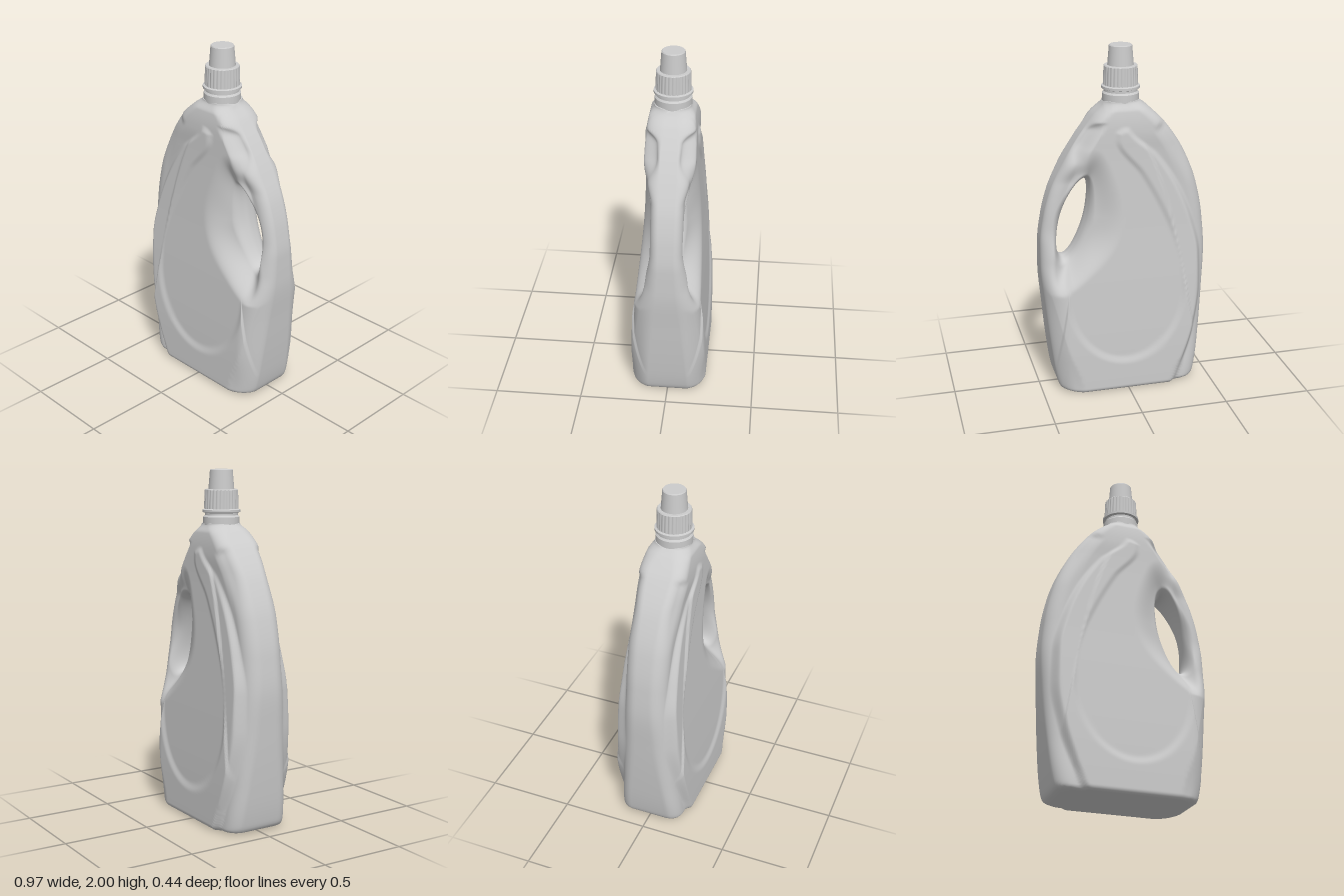
import * as THREE from 'three';

const { clamp, lerp, smoothstep } = THREE.MathUtils;

// Smooth function of y through [y, value] pairs (cubic Hermite)
function curve(...p) {
  const slope = (i) => {
    if (i === 0 || i === p.length - 1) return 0;
    const a = (p[i][1] - p[i - 1][1]) / (p[i][0] - p[i - 1][0]);
    const b = (p[i + 1][1] - p[i][1]) / (p[i + 1][0] - p[i][0]);
    return a * b <= 0 ? 0 : (2 * a * b) / (a + b);
  };
  const m = p.map((_, i) => slope(i));
  return (y) => {
    if (y <= p[0][0]) return p[0][1];
    for (let i = 0; i < p.length - 1; i++) {
      const w = p[i + 1][0] - p[i][0], t = (y - p[i][0]) / w;
      if (t > 1) continue;
      const s = 1 - t;
      return p[i][1] * (1 + 2 * t) * s * s + m[i] * w * t * s * s
        + p[i + 1][1] * t * t * (3 - 2 * t) - m[i + 1] * w * t * t * s;
    }
    return p[p.length - 1][1];
  };
}

// Quarter-round rise from 0 to 1 over t = 0..1
const round = (t) => Math.sqrt(1 - (1 - clamp(t, 0, 1)) ** 2);

// Side outlines
const xLeft = curve([0, -0.37], [0.015, -0.4], [0.05, -0.415], [0.3, -0.45], [0.6, -0.475], [0.8, -0.485],
  [1, -0.47], [1.2, -0.43], [1.4, -0.35], [1.57, -0.235], [1.66, -0.145], [1.7, -0.1]);
const xRight = curve([0, 0.36], [0.015, 0.39], [0.05, 0.405], [0.2, 0.43], [0.5, 0.462], [0.75, 0.482], [0.9, 0.48],
  [1.05, 0.46], [1.2, 0.42], [1.35, 0.35], [1.5, 0.26], [1.62, 0.17], [1.7, 0.1]);
// Half depth of the body, of its flat side walls, and size of the right edge rounding
const depth = curve([0, 0.218], [0.2, 0.216], [0.6, 0.2], [1, 0.176], [1.4, 0.155], [1.56, 0.15], [1.65, 0.138], [1.7, 0.112]);
const wallLeft = curve([0, 0.11], [0.6, 0.05], [1, 0.035], [1.4, 0.045], [1.6, 0.06], [1.7, 0.02]);
const wallRight = curve([0, 0.11], [0.5, 0.075], [0.75, 0.05], [1, 0.04], [1.5, 0.045], [1.7, 0.02]);
const edgeRight = curve([0, 0.08], [0.5, 0.12], [0.75, 0.1], [0.95, 0.06], [1.7, 0.07]);
// Raised rib: outer and inner edge; recess of the side band beyond it
const ribOuter = curve([0, -0.25], [0.05, -0.27], [0.35, -0.375], [0.6, -0.415], [0.8, -0.41], [1, -0.365],
  [1.2, -0.285], [1.4, -0.155], [1.56, 0]);
const ribInner = curve([0.62, -0.34], [0.75, -0.335], [0.9, -0.295], [1.1, -0.21], [1.3, -0.1], [1.5, 0.04]);
const bandDrop = curve([0, 0.03], [0.3, 0.05], [0.8, 0.06], [1.2, 0.042], [1.42, 0.022], [1.54, 0.012]);
// Lower right chamfer line and thinning of the handle
const chamfer = curve([0, 0.27], [0.3, 0.36], [0.65, 0.45], [0.8, 0.5]);
const handleDepth = curve([0.5, 0.22], [0.64, 0.18], [0.8, 0.125], [1, 0.09], [1.25, 0.09], [1.36, 0.112],
  [1.48, 0.07], [1.55, 0.078], [1.62, 0.15]);

// Handle opening: a tilted ellipse
const HOLE = { x: 0.29, y: 1.035, long: 0.238, wide: 0.072, dx: 0.272, dy: -0.962 };
const holeAcross = (x, y) => -(x - HOLE.x) * HOLE.dy + (y - HOLE.y) * HOLE.dx;
function holeRatio(x, y) {
  const along = (x - HOLE.x) * HOLE.dx + (y - HOLE.y) * HOLE.dy;
  return Math.hypot(along / HOLE.long, holeAcross(x, y) / HOLE.wide);
}

// Half depth of the bottle at a point of its front elevation
function halfDepth(x, y) {
  const dL = Math.max(0, x - xLeft(y)), dR = Math.max(0, xRight(y) - x);
  const inset = 0.012;
  let z = depth(y);

  // inset oval front panel, running into the shoulder past the rounded rib tip
  const panel = y < 0.62
    ? 0.35 * (1 - Math.hypot((x - 0.01) / 0.35, (y - 0.62) / 0.44))
    : Math.min(x - ribInner(y), lerp(0.36, 0.7, smoothstep(y, 0.62, 0.85)) - x);
  const inPanel = Math.max(smoothstep(panel, -0.012, 0.03), smoothstep(y + 8 * x * x, 1.535, 1.575));
  // recessed side band, ending in a small step below the shoulder
  const inBand = 1 - smoothstep(x - ribOuter(y), -0.035, 0.005);
  const step = 0.02 * (1 - smoothstep(dL, 0.04, 0.12))
    * smoothstep(y, 1.2, 1.45) * (1 - smoothstep(y + 0.7 * (x + 0.17), 1.52, 1.57));
  z -= lerp(inset * inPanel, bandDrop(y) + step, inBand);
  // chamfered lower corner
  z -= 0.35 * Math.max(0, x - chamfer(y));
  // slim handle and grip notch
  const reach = lerp(0.16, 0.1, smoothstep(y, 1.3, 1.45));
  const grip = 1 - smoothstep(dR, reach - 0.08, reach);
  z = lerp(z, Math.min(z, handleDepth(y)), grip);

  // rounded outer edges
  const eL = Math.min(z, wallLeft(y)), eR = Math.min(z, wallRight(y));
  z = Math.min(eL + (z - eL) * round(dL / 0.085), eR + (z - eR) * round(dR / edgeRight(y)));
  z -= 0.03 * (1 - round(y / 0.03));

  // scoop around the opening: steep beside the body, deeper below, tight on the handle
  const ratio = Math.max(1, holeRatio(x, y));
  const d = (1 - 1 / ratio) * Math.hypot(x - HOLE.x, y - HOLE.y);
  const side = smoothstep(holeAcross(x, y), -0.04, 0.08);
  const steep = lerp(0.3, 0.5, smoothstep(y, 0.8, 1.05));
  const bodyScoop = steep * round(d / 0.04) + (1 - steep) * smoothstep(d, -0.02, 0.2);
  return z * lerp(bodyScoop * round(d / 0.01), round(d / 0.05), side);
}

// Loops run from the opening over the front, round the side wall and back
function bodyGeometry() {
  const M = 280, N = 100, STEPS = 300, R = 2 * N + 1;
  const right = [], left = [];
  for (let i = 0; i <= STEPS; i++) {
    const y = 1.7 * (i / STEPS) ** 1.3;
    right.push(new THREE.Vector2(xRight(y), y));
    left.unshift(new THREE.Vector2(xLeft(y), y));
  }
  const outline = new THREE.Path().setFromPoints([...right, ...left, right[0]]).getSpacedPoints(M);
  const pos = [], index = [];
  for (let i = 0; i < M; i++) {
    const o = outline[i], k = 1 / holeRatio(o.x, o.y);
    const ix = lerp(HOLE.x, o.x, k), iy = lerp(HOLE.y, o.y, k);
    for (let j = 0; j < R; j++) {
      const u = (j <= N ? j : R - j) / N;
      const t = lerp(u, (1 - Math.cos(Math.PI * u)) / 2, 0.8);
      const x = lerp(ix, o.x, t), y = lerp(iy, o.y, t);
      const z = j === 0 ? 0 : halfDepth(x, y);
      pos.push(x, y, j <= N ? z : -z);
      const i2 = (i + 1) % M, j2 = (j + 1) % R;
      const a = i * R + j, b = i * R + j2, c = i2 * R + j2, d = i2 * R + j;
      index.push(a, b, c, a, c, d);
    }
  }
  const g = new THREE.BufferGeometry();
  g.setAttribute('position', new THREE.Float32BufferAttribute(pos, 3));
  g.setIndex(index);
  g.computeVertexNormals();
  return g;
}

// Fluted sleeve of the cap
function sleeveGeometry() {
  const g = new THREE.CylinderGeometry(0.09, 0.093, 0.105, 168, 1, true);
  const p = g.attributes.position;
  for (let i = 0; i < p.count; i++) {
    const a = Math.atan2(p.getZ(i), p.getX(i));
    const k = 1 + 0.045 * Math.abs(Math.sin(14 * a));
    p.setXYZ(i, p.getX(i) * k, p.getY(i), p.getZ(i) * k);
  }
  g.computeVertexNormals();
  return g;
}

export function createModel() {
  const model = new THREE.Group();
  const grey = new THREE.MeshStandardMaterial({ color: 0xcccccc });
  const add = (name, geometry, parent) => {
    const mesh = new THREE.Mesh(geometry, grey);
    mesh.name = name;
    parent.add(mesh);
    return mesh;
  };
  const group = (name) => {
    const g = new THREE.Group();
    g.name = name;
    model.add(g);
    return g;
  };
  // Turned part with crisp edges: each profile segment has its own vertices
  const turned = (name, profile, parent) => {
    for (let i = 0; i < profile.length - 1; i++) {
      const pts = [profile[i], profile[i + 1]].map(([r, y]) => new THREE.Vector2(r, y));
      add(name, new THREE.LatheGeometry(pts, 64), parent);
    }
  };

  add('bottleBody', bodyGeometry(), model);

  // Neck with its flange
  const neck = group('neck');
  turned('neck', [[0.102, 1.68], [0.102, 1.735], [0.093, 1.745], [0.093, 1.76]], neck);
  turned('neckFlange', [[0.093, 1.757], [0.107, 1.762], [0.107, 1.775], [0.09, 1.78]], neck);

  // Fluted cap with tapered top
  const cap = group('cap');
  add('capSleeve', sleeveGeometry(), cap).position.y = 1.8325;
  turned('capShoulder', [[0.094, 1.884], [0.09, 1.889], [0.073, 1.889]], cap);
  turned('capTop', [[0.073, 1.885], [0.064, 1.995], [0.06, 2], [0, 2]], cap);
  return model;
}
